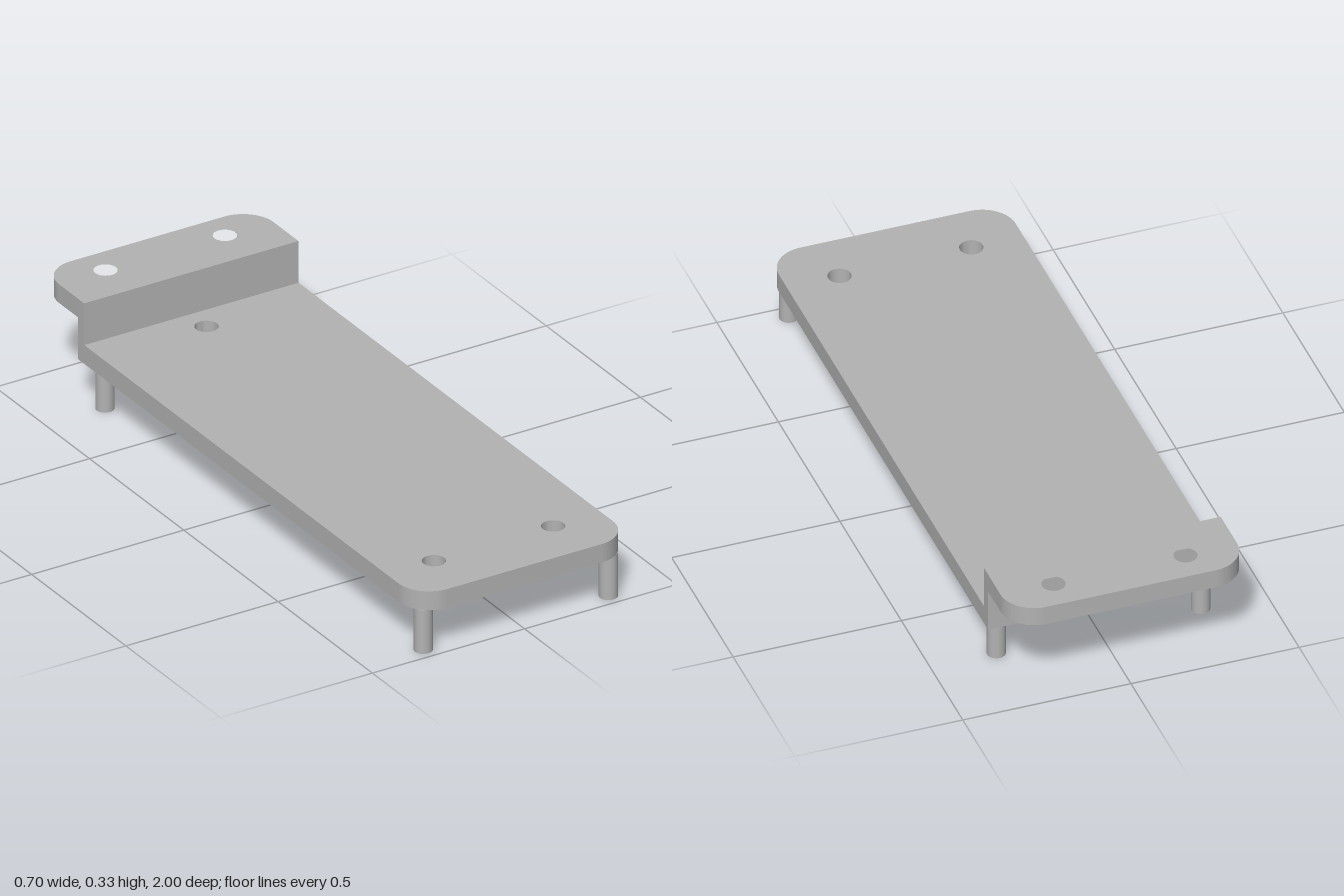
import * as THREE from 'three';
import { toCreasedNormals } from 'three/addons/utils/BufferGeometryUtils.js';

const HALF_W = 0.352, CORNER = 0.1, THICK = 0.059;
const BASE_Y = 0.138, SHELF_Y = 0.27;

// Horizontal slab with two rounded corners at zRound, square edge at zFlat, and round through-holes
function slab(zFlat, zRound, y, holes, material) {
  const s = Math.sign(zRound - zFlat);
  // shape y maps to -z after the slab is laid flat
  const a = -zFlat, b = -zRound, inner = b + s * CORNER;
  const shape = new THREE.Shape();
  shape.moveTo(-HALF_W, a);
  shape.lineTo(-HALF_W, inner);
  shape.absarc(-HALF_W + CORNER, inner, CORNER, Math.PI, s > 0 ? Math.PI * 1.5 : Math.PI / 2, s < 0);
  shape.lineTo(HALF_W - CORNER, b);
  shape.absarc(HALF_W - CORNER, inner, CORNER, s > 0 ? -Math.PI / 2 : Math.PI / 2, 0, s < 0);
  shape.lineTo(HALF_W, a);
  shape.closePath();
  for (const [x, z] of holes) {
    shape.holes.push(new THREE.Path().absarc(x, -z, 0.034, 0, Math.PI * 2, true));
  }
  const extruded = new THREE.ExtrudeGeometry(shape, { depth: THICK, bevelEnabled: false, curveSegments: 16 });
  extruded.rotateX(-Math.PI / 2);
  const mesh = new THREE.Mesh(toCreasedNormals(extruded, 0.6), material);
  mesh.position.y = y;
  return mesh;
}

export function createModel() {
  const model = new THREE.Group();
  model.name = 'steppedMountingPlate';
  const grey = new THREE.MeshStandardMaterial({ color: 0xb2b2b2 });
  grey.name = 'grey';

  // Long main plate with three holes
  const plate = slab(-0.8, 1, BASE_Y, [[-0.197, 0.837], [0.195, 0.837], [-0.003, -0.682]], grey);
  plate.name = 'basePlate';
  model.add(plate);

  // Raised rear shelf with two holes
  const shelf = slab(-0.767, -1, SHELF_Y, [[-0.197, -0.904], [0.195, -0.904]], grey);
  shelf.name = 'rearShelf';
  model.add(shelf);

  // Upright step joining plate and shelf
  const bottom = BASE_Y + THICK;
  const riser = new THREE.Mesh(new THREE.BoxGeometry(HALF_W * 2, SHELF_Y - bottom, 0.033), grey);
  riser.position.set(0, (SHELF_Y + bottom) / 2, -0.7835);
  riser.name = 'riser';
  model.add(riser);

  // Four round legs
  const legGeometry = new THREE.CylinderGeometry(0.027, 0.027, BASE_Y, 32);
  for (const x of [-0.305, 0.303]) {
    for (const z of [0.955, -0.733]) {
      const leg = new THREE.Mesh(legGeometry, grey);
      leg.position.set(x, BASE_Y / 2, z);
      leg.name = (z > 0 ? 'front' : 'rear') + (x > 0 ? 'Left' : 'Right') + 'Leg';
      model.add(leg);
    }
  }
  return model;
}
